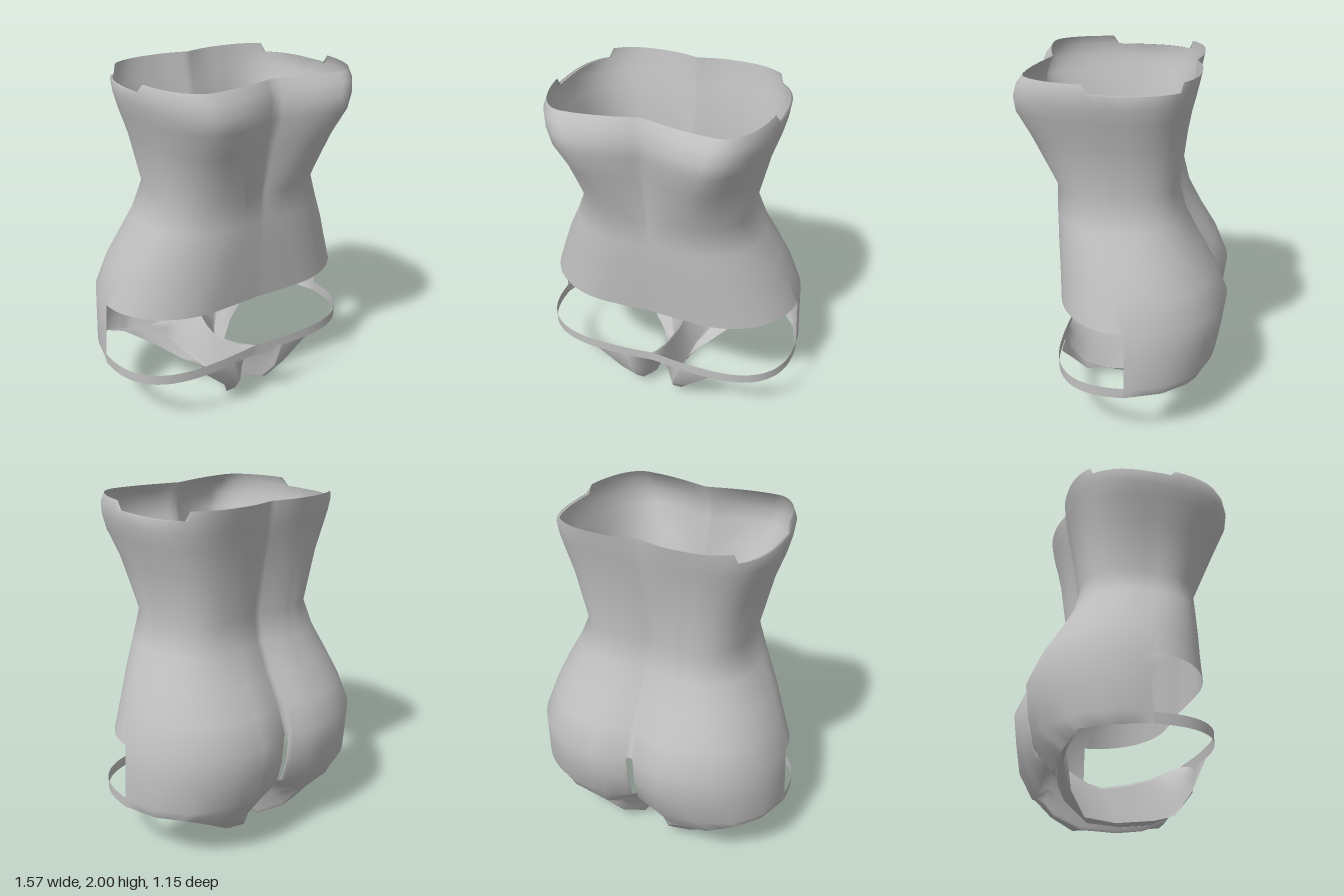
import * as THREE from 'three';
import { mergeVertices } from 'three/addons/utils/BufferGeometryUtils.js';

const QUARTER = 30, CENTRE = 10;

// Body levels: y, side x, side z, then centre z, lobe z, lobe x and corner power for front and back
const levels = [
  [2.0, 0.60, 0.07, 0.44, 0.51, 0.40, 0.95, -0.355, -0.39, 0.2, 0.72],
  [1.95, 0.62, 0.07, 0.46, 0.55, 0.38, 0.95, -0.35, -0.38, 0.2, 0.72],
  [1.88, 0.61, 0.06, 0.48, 0.575, 0.36, 0.95, -0.34, -0.365, 0.2, 0.72],
  [1.8, 0.59, 0.06, 0.475, 0.57, 0.34, 0.95, -0.325, -0.345, 0.2, 0.72],
  [1.66, 0.545, 0.07, 0.44, 0.515, 0.27, 0.95, -0.295, -0.32, 0.2, 0.72],
  [1.36, 0.48, 0.1, 0.395, 0.4, 0.13, 0.9, -0.25, -0.285, 0.2, 0.72],
  [1.2, 0.55, 0.06, 0.395, 0.4, 0.14, 0.9, -0.28, -0.325, 0.2, 0.8],
  [1.03, 0.64, 0.01, 0.385, 0.39, 0.2, 0.95, -0.36, -0.415, 0.2, 0.88],
  [0.88, 0.705, -0.02, 0.375, 0.38, 0.25, 1, -0.45, -0.505, 0.22, 0.92],
  [0.715, 0.765, -0.04, 0.36, 0.37, 0.3, 1, -0.51, -0.575, 0.22, 0.95],
  [0.55, 0.775, -0.04, 0.36, 0.38, 0.3, 0.8, -0.5, -0.555, 0.22, 0.95],
  [0.39, 0.785, -0.04, 0.365, 0.385, 0.3, 0.75, -0.46, -0.525, 0.24, 0.95],
];

// Quarter outline from the centre line over a rounded lobe to the side
function quarter(y, side, sideZ, centreZ, lobeZ, lobeX, power, minX = 0) {
  const pts = [];
  for (let i = 0; i <= QUARTER; i++) {
    if (i < CENTRE) {
      const t = i / CENTRE;
      const ease = Math.sin((t * Math.PI) / 2);
      pts.push([Math.max(minX, lobeX * t), y, centreZ + (lobeZ - centreZ) * ease]);
    } else {
      const a = ((i - CENTRE) / (QUARTER - CENTRE)) * Math.PI / 2;
      const s = Math.sin(a) ** power;
      const c = Math.max(0, Math.cos(a)) ** power;
      pts.push([lobeX + (side - lobeX) * s, y, sideZ + (lobeZ - sideZ) * c]);
    }
  }
  return pts;
}
const frontArc = (l) => quarter(...l.slice(0, 7));
const backArc = (l, minX = 0) => quarter(...l.slice(0, 3), ...l.slice(7), minX).reverse();

// Evenly resample a few points to the shared column count
function spread(points) {
  return Array.from({ length: QUARTER + 1 }, (_, i) => {
    const u = (i / QUARTER) * (points.length - 1);
    const k = Math.min(points.length - 2, Math.floor(u));
    return points[k].map((v, n) => v + (points[k + 1][n] - v) * (u - k));
  });
}

// Skin patches, each a list of rows on the left half, and mirror them to the right
function mirroredSurface(patches) {
  const position = [];
  const index = [];
  for (const rows of patches) {
    const cols = rows[0].length;
    for (const side of [1, -1]) {
      const base = position.length / 3;
      for (const row of rows) for (const [x, y, z] of row) position.push(x * side, y, z);
      for (let i = 0; i < rows.length - 1; i++) {
        for (let j = 0; j < cols - 1; j++) {
          const a = base + i * cols + j, b = a + cols, d = b + 1, e = a + 1;
          if (side > 0) index.push(a, b, d, a, d, e);
          else index.push(a, d, b, a, e, d);
        }
      }
    }
  }
  const g = new THREE.BufferGeometry();
  g.setAttribute('position', new THREE.Float32BufferAttribute(position, 3));
  g.setIndex(index);
  const merged = mergeVertices(g, 1e-4);
  merged.computeVertexNormals();
  return merged;
}

export function createModel() {
  const group = new THREE.Group();
  const cloth = new THREE.MeshStandardMaterial({ color: 0xc0c0c0, side: THREE.DoubleSide });
  cloth.name = 'light grey cloth';
  const add = (name, patches) => {
    const mesh = new THREE.Mesh(mirroredSurface(patches), cloth);
    mesh.name = name;
    group.add(mesh);
  };

  // Bodice, with the rim stepped down below the arms
  const bodice = levels.slice(0, 10).map((l) => [...frontArc(l), ...backArc(l).slice(1)]);
  bodice[0] = bodice[0].map(([x, y, z]) => [x, z < 0.16 && z > -0.3 ? 1.951 : y, z]);

  // Seat panels with a narrow slit between them
  const seat = levels.slice(9).map((l) => backArc(l, 0.022));

  // Underside of the seat down to the leg openings
  const hem = levels[11];
  const fold = [[0, 0.36, -0.4], [0.22, 0.22, -0.42], [0.45, 0.26, -0.42], [0.62, 0.33, -0.37]];
  const sideFold = [[0.72, 0.33, -0.24], [0.785, 0.33, -0.04]];
  const underside = [spread([...fold, ...sideFold]), backArc(hem, 0.022).reverse()];

  // Gusset sections from front to back: raised centre, low ridge, leg edge
  const gusset = [
    [[0, 0.385, 0.365], [0.18, 0.335, 0.383], [0.37, 0.33, 0.38]],
    [[0, 0.33, 0.24], [0.13, 0.2, 0.38], [0.22, 0.18, 0.345]],
    [[0, 0.3, 0.18], [0.1, 0.08, 0.29], [0.15, 0.06, 0.27]],
    [[0, 0.26, 0.05], [0.07, 0.02, 0.15], [0.1, 0.04, 0.17]],
    [[0, 0.23, -0.1], [0.07, 0, 0], [0.075, 0.02, -0.04]],
    [[0, 0.25, -0.18], [0.08, 0.01, -0.2], [0.16, 0.02, -0.23]],
    [[0, 0.33, -0.32], [0.16, 0.1, -0.34], [0.29, 0.12, -0.33]],
    [[0, 0.35, -0.37], [0.2, 0.17, -0.385], [0.49, 0.265, -0.395]],
    fold,
  ].map(spread);
  add('bodysuit', [bodice, seat, underside, gusset]);

  // Thin band across the front of each thigh
  const bandTop = frontArc(hem);
  add('thighBand', [[bandTop, bandTop.map(([x, , z]) => [x, 0.33, z])]]);

  return group;
}
